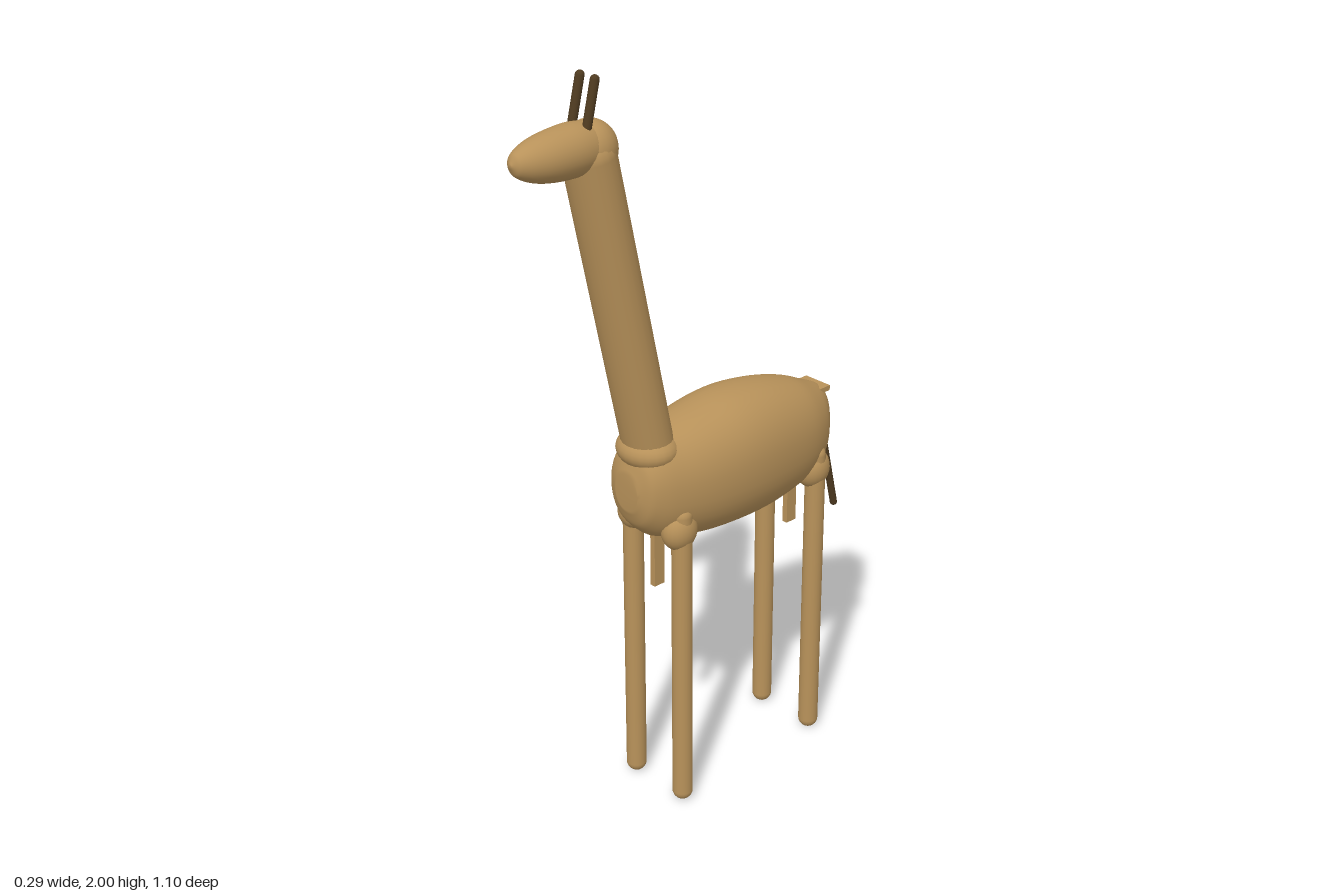
import * as THREE from 'three';

const coat = new THREE.MeshStandardMaterial({ color: 0xb8925a });
coat.name = 'tan coat';
const dark = new THREE.MeshStandardMaterial({ color: 0x4f3b20 });
dark.name = 'dark brown';

const smooth = pts => new THREE.CatmullRomCurve3(pts, false, 'centripetal');

// Rounded skin through sections [z, bottom, top, halfWidth], z increasing
function loft(sections, power, steps = 48, sides = 40) {
  const mid = smooth(sections.map(([z, b, t]) => new THREE.Vector3(0, (b + t) / 2, z)));
  const size = smooth(sections.map(([z, b, t, w]) => new THREE.Vector3(w, (t - b) / 2, z)));
  const pos = [], index = [];
  const bend = v => Math.sign(v) * Math.pow(Math.abs(v), 2 / power);
  for (let i = 0; i <= steps; i++) {
    const c = mid.getPoint(i / steps), s = size.getPoint(i / steps);
    for (let j = 0; j < sides; j++) {
      const a = (j / sides) * Math.PI * 2;
      pos.push(s.x * bend(Math.cos(a)), c.y + s.y * bend(Math.sin(a)), c.z);
      if (i === steps) continue;
      const k = (j + 1) % sides, p = i * sides, q = p + sides;
      index.push(p + j, p + k, q + j, p + k, q + k, q + j);
    }
  }
  // End caps
  for (let j = 1; j < sides - 1; j++) {
    const e = steps * sides;
    index.push(0, j + 1, j, e, e + j, e + j + 1);
  }
  const g = new THREE.BufferGeometry();
  g.setAttribute('position', new THREE.Float32BufferAttribute(pos, 3));
  g.setIndex(index);
  g.computeVertexNormals();
  return g;
}

export function createModel() {
  const model = new THREE.Group();
  model.name = 'giraffe';

  const add = (name, geometry, material = coat) => {
    const mesh = new THREE.Mesh(geometry, material);
    mesh.name = name;
    model.add(mesh);
    return mesh;
  };
  // Round-ended rod whose tips lie at a and b
  const rod = (name, a, b, r, material = coat) => {
    const from = new THREE.Vector3(...a), to = new THREE.Vector3(...b);
    const dir = to.clone().sub(from);
    const mesh = add(name, new THREE.CapsuleGeometry(r, dir.length() - 2 * r, 8, 20), material);
    mesh.position.copy(from).add(to).multiplyScalar(0.5);
    mesh.quaternion.setFromUnitVectors(new THREE.Vector3(0, 1, 0), dir.normalize());
    return mesh;
  };
  const ball = (name, p, s) => {
    const mesh = add(name, new THREE.SphereGeometry(1, 24, 16));
    mesh.position.set(...p);
    mesh.scale.set(...s);
    return mesh;
  };

  // Barrel body, blunt at the rump and chest
  add('body', loft([
    [-0.462, 0.87, 0.98, 0.04],
    [-0.45, 0.83, 1.0, 0.055],
    [-0.41, 0.785, 1.02, 0.09],
    [-0.34, 0.757, 1.052, 0.12],
    [-0.22, 0.737, 1.083, 0.14],
    [-0.1, 0.735, 1.093, 0.147],
    [0.02, 0.745, 1.08, 0.138],
    [0.11, 0.765, 1.065, 0.12],
    [0.17, 0.785, 1.055, 0.1],
    [0.21, 0.825, 1.02, 0.075],
    [0.227, 0.87, 0.97, 0.04],
  ], 2.2));

  // Neck and the rounded nape joining it to the head
  const neck = rod('neck', [0, 0.9, 0.125], [0, 1.87, 0.337], 0.062);
  neck.scale.x = 1.11;
  ball('nape', [0, 1.825, 0.32], [0.064, 0.069, 0.066]);
  ball('neckBase', [0, 1.02, 0.155], [0.085, 0.05, 0.075]);

  // Head tapering to the muzzle
  add('head', loft([
    [0.28, 1.8, 1.85, 0.025],
    [0.31, 1.78, 1.884, 0.05],
    [0.36, 1.772, 1.896, 0.06],
    [0.42, 1.773, 1.894, 0.06],
    [0.47, 1.78, 1.887, 0.053],
    [0.51, 1.793, 1.876, 0.04],
    [0.538, 1.811, 1.861, 0.023],
    [0.549, 1.833, 1.842, 0.005],
  ], 2, 40, 32));

  for (const side of [-1, 1]) {
    const label = side > 0 ? 'left' : 'right';
    rod(`${label}Horn`, [side * 0.025, 1.87, 0.352], [side * 0.025, 2, 0.32], 0.011, dark);
    // Legs with a shallow hip bulge
    for (const [end, z] of [['Front', 0.125], ['Back', -0.36]]) {
      rod(`${label}${end}Leg`, [side * 0.09, 0, z], [side * 0.09, 0.88, z], 0.027);
      ball(`${label}${end}Hip`, [side * 0.08, 0.81, z], [0.042, 0.055, 0.05]);
    }
  }

  // Small strips hanging under the belly between each leg pair
  for (const [end, z] of [['front', 0.125], ['back', -0.36]]) {
    add(`${end}BellyStrip`, new THREE.BoxGeometry(0.016, 0.2, 0.034)).position.set(0, 0.72, z);
  }

  // Tail and the flat root above it
  add('tailRoot', new THREE.BoxGeometry(0.085, 0.014, 0.06)).position.set(0, 0.996, -0.43);
  rod('tail', [0, 1.0, -0.445], [0, 0.6, -0.54], 0.01, dark);

  return model;
}
